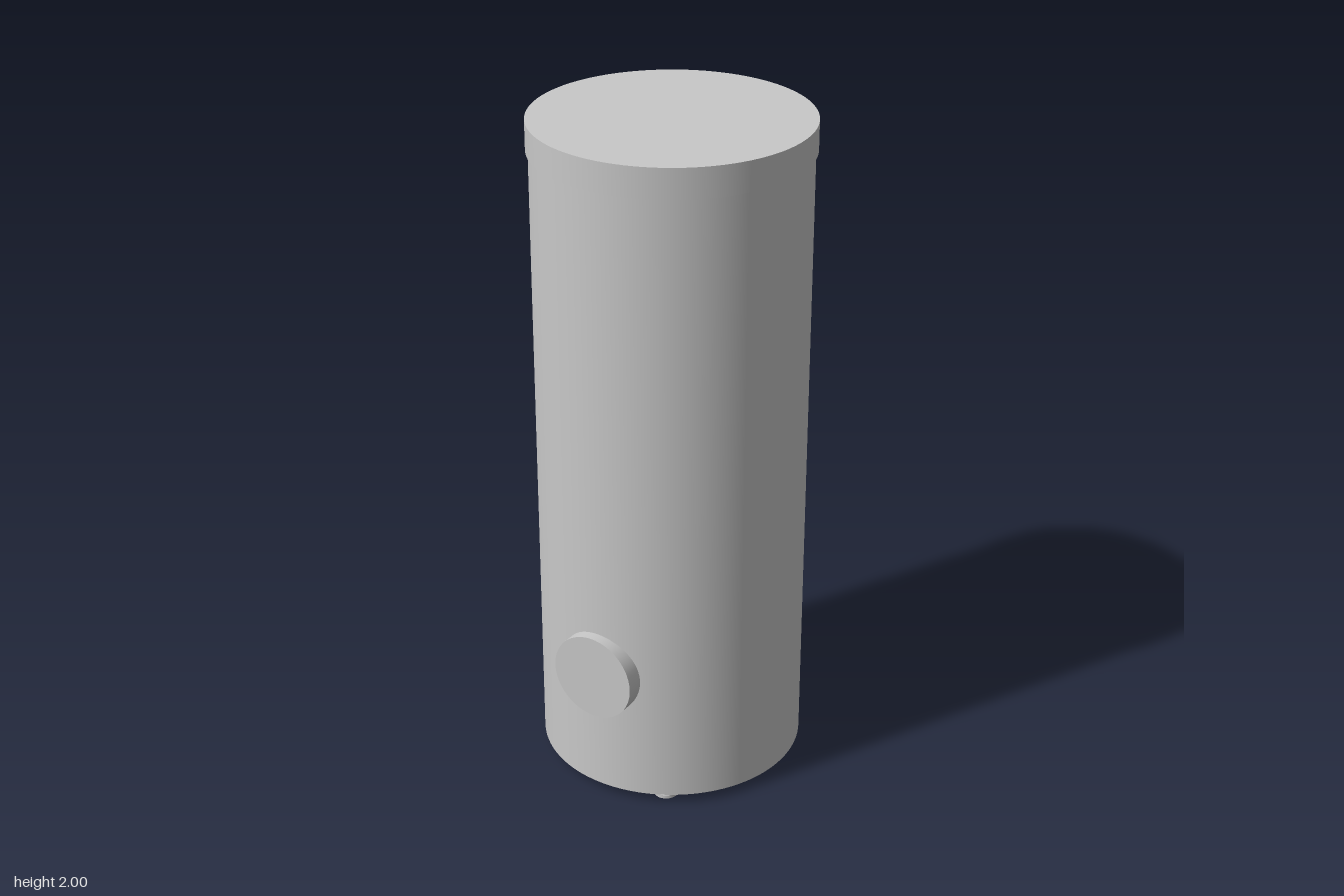
import * as THREE from 'three';

const CZ = -0.003; // tank axis, offset by the deeper front flange

export function createModel() {
  const model = new THREE.Group();
  model.name = 'storageTank';
  const grey = new THREE.MeshStandardMaterial({ color: 0xc8c8c8 });
  grey.name = 'light grey';

  // Upright cylinder spanning y0..y1
  function upright(name, r, y0, y1, x, z, parent = model, sides = 96) {
    const mesh = new THREE.Mesh(new THREE.CylinderGeometry(r, r, y1 - y0, sides), grey);
    mesh.name = name;
    mesh.position.set(x, (y0 + y1) / 2, z);
    parent.add(mesh);
  }

  // Cylinder lying along z, spanning z0..z1
  function lying(name, r, y, z0, z1, sides) {
    const geometry = new THREE.CylinderGeometry(r, r, z1 - z0, sides).rotateX(Math.PI / 2);
    const mesh = new THREE.Mesh(geometry, grey);
    mesh.name = name;
    mesh.position.set(0, y, (z0 + z1) / 2);
    model.add(mesh);
  }

  // Tank body and slightly wider lid
  upright('tankBody', 0.394, 0.03, 1.95, 0, CZ);
  upright('lid', 0.401, 1.912, 2, 0, CZ);

  // Round inspection flange at the front
  lying('inspectionFlange', 0.131, 0.42, 0.3, 0.422, 64);

  // Pipe connections up the back
  [0.105, 0.323, 1.16, 1.36, 1.91].forEach((y, i) => {
    lying('pipeConnection' + (i + 1), 0.024, y, -0.422, -0.37, 32);
  });

  // Three levelling feet: a disc on a thin stem
  for (let i = 0; i < 3; i++) {
    const a = Math.PI + (i * 2 * Math.PI) / 3;
    const foot = new THREE.Group();
    foot.name = 'foot' + (i + 1);
    foot.position.set(0.335 * Math.cos(a), 0, CZ + 0.335 * Math.sin(a));
    upright('footDisc', 0.037, 0, 0.011, 0, 0, foot, 32);
    upright('footStem', 0.009, 0.01, 0.04, 0, 0, foot, 20);
    model.add(foot);
  }

  return model;
}
